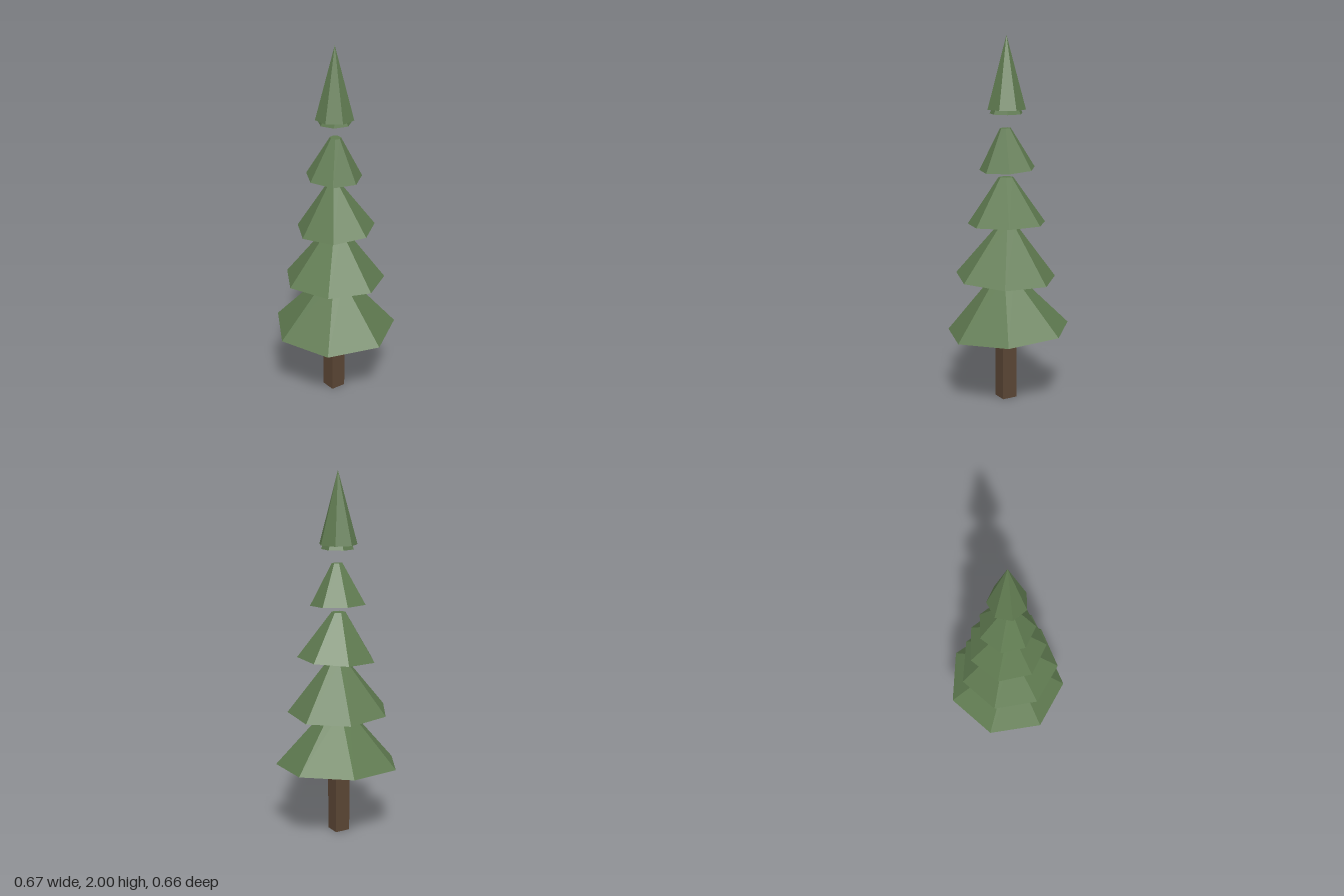
import * as THREE from 'three';

const SIDES = 7;
const AXIS_Z = -0.007;

export function createModel() {
  const tree = new THREE.Group();
  tree.name = 'pineTree';

  const needles = new THREE.MeshStandardMaterial({ color: 0x5f7a50 });
  needles.name = 'needleGreen';
  const bark = new THREE.MeshStandardMaterial({ color: 0x5a4534 });
  bark.name = 'barkBrown';

  // Adds one faceted part centred between its bottom and top heights
  function add(name, geometry, material, y, z = AXIS_Z) {
    const flat = geometry.toNonIndexed();
    flat.computeVertexNormals();
    const mesh = new THREE.Mesh(flat, material);
    mesh.name = name;
    mesh.position.set(0, y, z);
    tree.add(mesh);
    return mesh;
  }

  // Square trunk, ending just inside the lowest tier
  add('trunk', new THREE.BoxGeometry(0.086, 0.45, 0.086), bark, 0.225, -0.002);

  // Tiers: bottom, top, bottom radius, top radius, spin in degrees, slope along x and z
  const tiers = [
    [0.39, 0.70, 0.344, 0.065, -4.2, -0.053, -0.03],
    [0.69, 0.98, 0.281, 0.053, -5.0, 0.02, 0.035],
    [0.99, 1.245, 0.217, 0.04, -1.4, 0.005, -0.05],
    [1.287, 1.51, 0.154, 0.03, -0.4, -0.06, 0],
    [1.587, 1.77, 0.09, 0.018, 0, 0, 0],
  ];
  tiers.forEach(([y0, y1, r0, r1, spin, slopeX, slopeZ], i) => {
    const geometry = new THREE.CylinderGeometry(r1, r0, y1 - y0, SIDES);
    geometry.rotateY(THREE.MathUtils.degToRad(spin));
    const tier = add(`branchTier${i + 1}`, geometry, needles, (y0 + y1) / 2);
    tier.rotation.set(-slopeZ, 0, slopeX);
  });

  // Pointed crown over the smallest tier, turned half a facet
  const crown = new THREE.ConeGeometry(0.105, 0.39, SIDES);
  crown.rotateY(Math.PI / SIDES);
  add('crown', crown, needles, 1.805);

  return tree;
}
